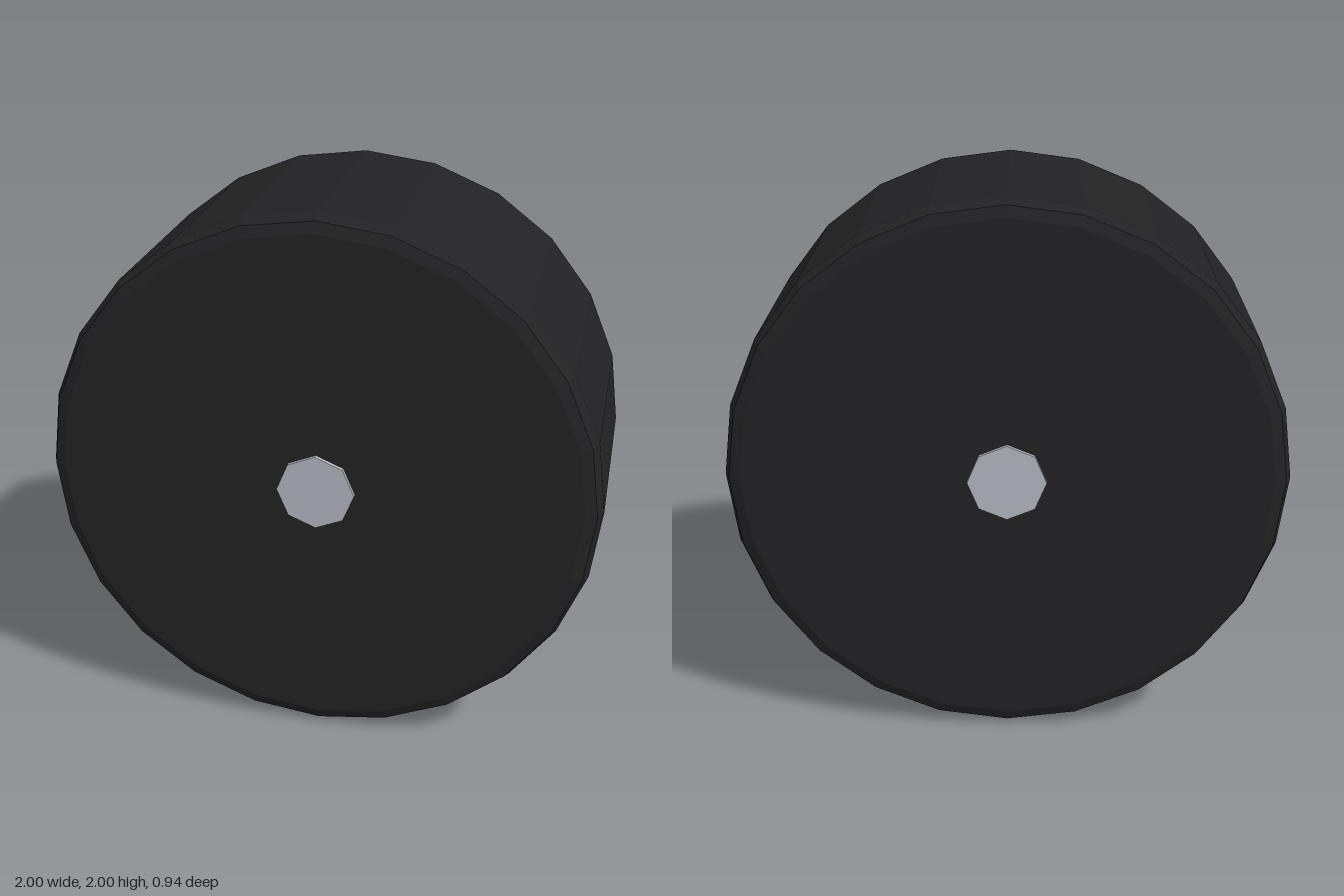
import * as THREE from 'three';

const HALF_WIDTH = 0.455;

export function createModel() {
  const group = new THREE.Group();
  const rubber = new THREE.MeshStandardMaterial({ color: 0x222224, flatShading: true });
  const metal = new THREE.MeshStandardMaterial({ color: 0xb4b8c0, flatShading: true });

  // Tyre: half profile (radius, offset along the axle), mirrored and revolved
  const edge = [[1, 0.395], [0.98, 0.44], [0.94, HALF_WIDTH], [0, HALF_WIDTH]];
  const profile = [
    ...edge.slice().reverse().map(([r, h]) => new THREE.Vector2(r, -h)),
    ...edge.map(([r, h]) => new THREE.Vector2(r, h)),
  ];
  const tyre = new THREE.Mesh(new THREE.LatheGeometry(profile, 24), rubber);
  tyre.name = 'tyre';

  // Axle: octagonal bar showing slightly on both sides
  const axle = new THREE.Mesh(new THREE.CylinderGeometry(0.14, 0.14, 0.94, 8), metal);
  axle.name = 'axle';

  // Lay both along z, with the wheel standing on the ground
  for (const part of [tyre, axle]) {
    part.rotation.x = Math.PI / 2;
    part.position.y = 1;
    group.add(part);
  }
  group.name = 'wheel';
  return group;
}
